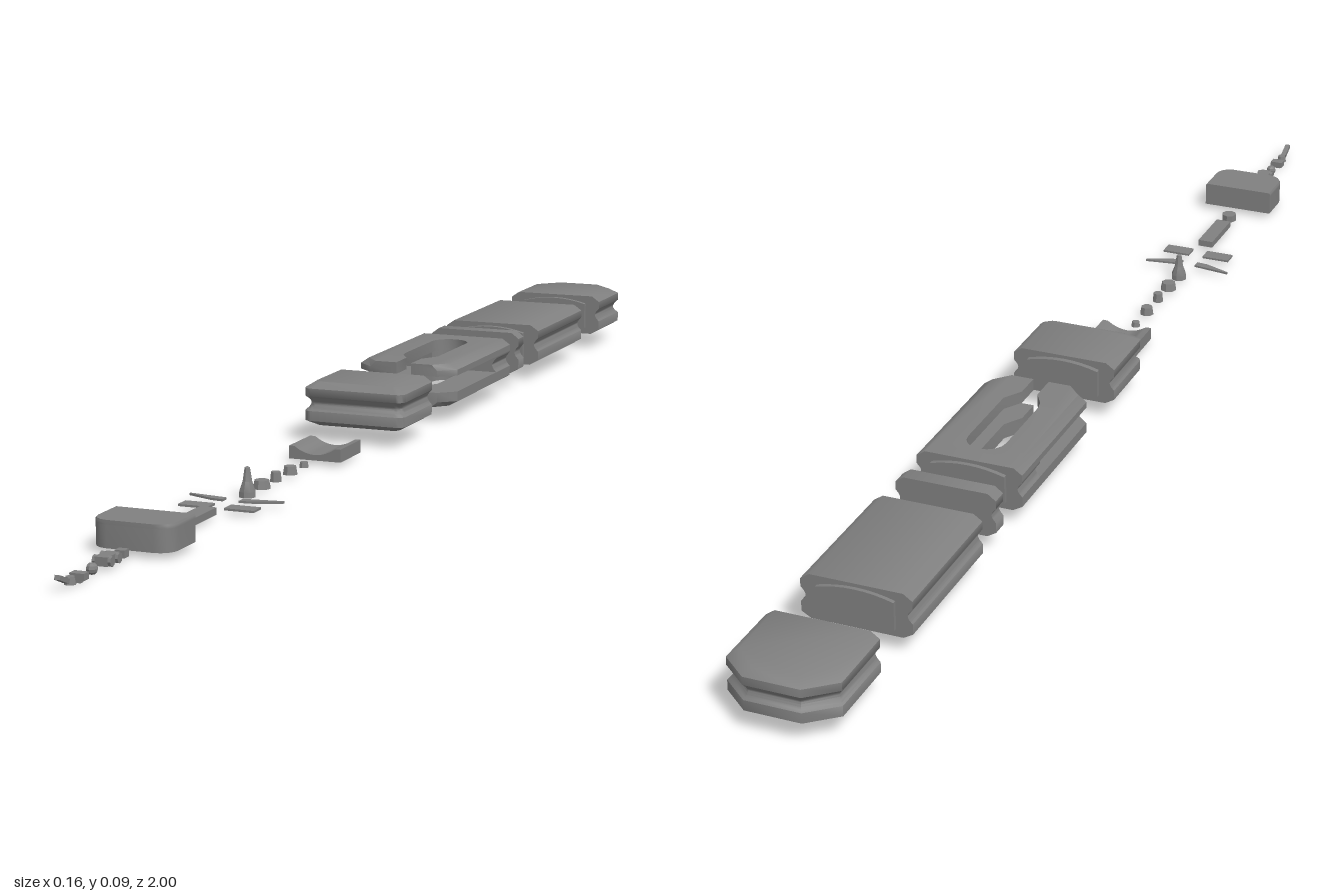
import * as THREE from 'three';
import { toCreasedNormals } from 'three/addons/utils/BufferGeometryUtils.js';

const material = new THREE.MeshStandardMaterial({ color: 0x808080, side: THREE.DoubleSide });
const keep = (z) => z;

// Stack a plan outline [x, z] through levels [inset, y]; zRule lets the inset wrap round an end.
function loft(outline, levels, zRule = keep) {
  const plan = outline.map(([x, z]) => new THREE.Vector2(x, z));
  if (THREE.ShapeUtils.isClockWise(plan)) plan.reverse();
  const rings = levels.map(([inset, y]) => plan.map((p) => [
    Math.abs(p.x) > 0.035 ? p.x * (1 - inset / 0.08) : p.x, y, zRule(p.y, inset)]));
  const pos = [];
  const tri = (a, b, c) => pos.push(...a, ...b, ...c);
  for (let k = 0; k < rings.length - 1; k++) {
    plan.forEach((_, i) => {
      const j = (i + 1) % plan.length, lo = rings[k], hi = rings[k + 1];
      tri(lo[i], hi[i], hi[j]);
      tri(lo[i], hi[j], lo[j]);
    });
  }
  const top = rings[rings.length - 1];
  for (const [a, b, c] of THREE.ShapeUtils.triangulateShape(plan, [])) {
    tri(rings[0][a], rings[0][b], rings[0][c]);
    tri(top[a], top[c], top[b]);
  }
  const geo = new THREE.BufferGeometry();
  geo.setAttribute('position', new THREE.Float32BufferAttribute(pos, 3));
  return geo;
}

const rect = (w, z0, z1) => [[-w, z0], [w, z0], [w, z1], [-w, z1]];

// Rectangle whose two front corners are rounded
function roundFront(w, z0, z1, r) {
  const pts = [[-w, z0], [w, z0]];
  for (const s of [1, -1]) {
    for (let i = 0; i <= 4; i++) {
      const a = (s > 0 ? i : 4 - i) * Math.PI / 8;
      pts.push([s * (w - r + r * Math.cos(a)), z1 - r + r * Math.sin(a)]);
    }
  }
  return pts;
}

// Upright walls: an outline with an inner opening
function walls(outer, inner, y0, y1) {
  const v = (pts) => pts.map(([x, z]) => new THREE.Vector2(x, -z));
  const shape = new THREE.Shape(v(outer));
  shape.holes.push(new THREE.Path(v(inner)));
  return new THREE.ExtrudeGeometry(shape, { depth: y1 - y0, bevelEnabled: false })
    .rotateX(-Math.PI / 2).translate(0, y0, 0);
}

export function createModel() {
  const model = new THREE.Group();
  const add = (name, geo, x = 0, y = 0, z = 0) => {
    const mesh = new THREE.Mesh(toCreasedNormals(geo, 0.75), material);
    mesh.name = name;
    mesh.position.set(x, y, z);
    model.add(mesh);
    return mesh;
  };
  const box = (name, w, h, d, x, y, z) => add(name, new THREE.BoxGeometry(w, h, d), x, y, z);

  // Side profile of the large blocks, with a smooth hollow groove
  const lower = [[0.014, 0.024], [0, 0.032], [0, 0.047]];
  const middle = [];
  for (let i = 0; i <= 8; i++) middle.push([0.007 * Math.sin(Math.PI * i / 8), 0.047 + 0.022 * i / 8]);
  const upper = [[0, 0.069], [0, 0.081], [0.013, 0.09]];
  const full = [...lower, ...middle.slice(1), ...upper.slice(1)];

  // Shallow end panel with an arched top and bottom
  const tenon = (name, z0, z1) => {
    const s = new THREE.Shape();
    s.moveTo(-0.056, 0.035);
    s.quadraticCurveTo(0, 0.027, 0.056, 0.035);
    s.lineTo(0.056, 0.077);
    s.quadraticCurveTo(0, 0.093, -0.056, 0.077);
    add(name, new THREE.ExtrudeGeometry(s, { depth: z1 - z0, bevelEnabled: false, curveSegments: 8 }), 0, 0, z0);
  };

  // Tail cap, its groove wrapping round the back
  add('tailCap', loft(
    [[-0.04, -1], [0.04, -1], [0.08, -0.966], [0.08, -0.857], [-0.08, -0.857], [-0.08, -0.966]],
    full, (z, i) => (z < -0.94 ? z + i : z)));
  tenon('tailTenon', -0.865, -0.849);

  // Long block with a tenon at each end
  add('longBlock', loft(rect(0.08, -0.76, -0.535), full));
  tenon('longBlockTenonBack', -0.766, -0.755);
  tenon('longBlockTenonFront', -0.54, -0.527);

  // Thin spacer
  add('spacer', loft(rect(0.075, -0.478, -0.453), full));

  // Forked clip: two slotted layers joined by a web at the back
  const arc = [];
  for (let i = 0; i <= 8; i++) {
    const a = Math.PI * i / 8;
    arc.push([0.029 * Math.cos(a), -0.334 - 0.029 * Math.sin(a)]);
  }
  const fork = [[-0.08, -0.398], [0.08, -0.398], [0.08, -0.16], [0.055, -0.137], [0.012, -0.137], [0.012, -0.18],
    [0.029, -0.208], ...arc, [-0.029, -0.208], [-0.012, -0.18], [-0.012, -0.137], [-0.055, -0.137], [-0.08, -0.16]];
  add('clipTop', loft(fork, [[0, 0.072], ...upper.slice(1)]));
  add('clipBottom', loft(fork, lower));
  add('clipWeb', loft([[-0.08, -0.398], [0.08, -0.398], [0.08, -0.334], ...arc, [-0.08, -0.334]],
    [...middle, [0, 0.072]]));
  tenon('clipTenon', -0.405, -0.393);

  // Nose block, its groove wrapping round the front
  add('noseBlock', loft(roundFront(0.08, -0.05, 0.067, 0.012), full, (z, i) => (z > 0.03 ? z - i : z)));
  tenon('noseTenon', -0.058, -0.045);

  // Cradle: hollow base under a dished top
  add('cradleBase', walls(rect(0.04, 0.134, 0.21), rect(0.032, 0.142, 0.202), 0.006, 0.013));
  const dish = new THREE.Shape();
  dish.moveTo(-0.04, 0.011);
  dish.lineTo(0.04, 0.011);
  dish.lineTo(0.04, 0.025);
  dish.lineTo(0.032, 0.025);
  dish.quadraticCurveTo(0, 0.003, -0.032, 0.025);
  dish.lineTo(-0.04, 0.025);
  add('cradleDish', new THREE.ExtrudeGeometry(dish, { depth: 0.076, bevelEnabled: false, curveSegments: 8 }), 0, 0, 0.134);

  // Row of small fittings
  [[0.249, 0.013, 0.008], [0.298, 0.02, 0.012], [0.348, 0.016, 0.014], [0.396, 0.024, 0.012]].forEach(([z, d, h], i) =>
    add('fitting' + (i + 1), new THREE.CylinderGeometry(d * 0.45, d * 0.55, h, 8), 0, 0.004 + h / 2, z));

  // Pointed mast
  const mast = [[0, 0.002], [0.012, 0.002], [0.012, 0.01], [0.007, 0.024], [0.004, 0.043], [0, 0.045]];
  add('mast', new THREE.LatheGeometry(mast.map(([r, y]) => new THREE.Vector2(r, y)), 8), 0, 0, 0.444);

  // Mirrored swept fins and flat plates
  for (const s of [1, -1]) {
    const side = s > 0 ? 'Left' : 'Right';
    add('fin' + side, loft([[s * 0.012, 0.486], [s * 0.07, 0.478], [s * 0.07, 0.481], [s * 0.03, 0.497], [s * 0.012, 0.499]],
      [[0, 0.006], [0, 0.009]]));
    box('plate' + side, 0.044, 0.003, 0.024, s * 0.034, 0.0075, 0.535);
  }

  // Bar and its end stop
  add('bar', loft(rect(0.012, 0.57, 0.66), [[0, 0.005], [0, 0.015]]));
  add('barStop', new THREE.CylinderGeometry(0.012, 0.012, 0.011, 8), 0, 0.0105, 0.688);

  // Hollow cover with rounded front corners
  const cover = roundFront(0.057, 0.73, 0.804, 0.024);
  add('coverWalls', walls(cover, roundFront(0.051, 0.736, 0.798, 0.02), 0.008, 0.039));
  add('coverLid', loft(cover, [[0, 0.039], [0, 0.043], [0.002, 0.045]]));

  // Tiny front fittings
  box('frontStud', 0.014, 0.01, 0.013, 0, 0.01, 0.826);
  box('frontCarriage', 0.018, 0.012, 0.034, 0, 0.012, 0.867);
  for (const s of [1, -1]) for (const z of [0.857, 0.877]) {
    const wheel = add('carriageWheel', new THREE.CylinderGeometry(0.007, 0.007, 0.006, 8), s * 0.01, 0.012, z);
    wheel.rotation.z = Math.PI / 2;
  }
  add('frontBead', new THREE.SphereGeometry(0.008, 8, 6), 0, 0.009, 0.908);
  box('frontClamp', 0.02, 0.009, 0.014, 0, 0.008, 0.942);
  add('frontCollar', new THREE.CylinderGeometry(0.006, 0.008, 0.01, 8), 0, 0.008, 0.966);
  const lever = box('frontLever', 0.008, 0.006, 0.026, 0, 0.014, 0.987);
  lever.rotation.x = -0.4;
  box('leverFoot', 0.01, 0.005, 0.008, 0, 0.0025, 0.944);

  return model;
}
